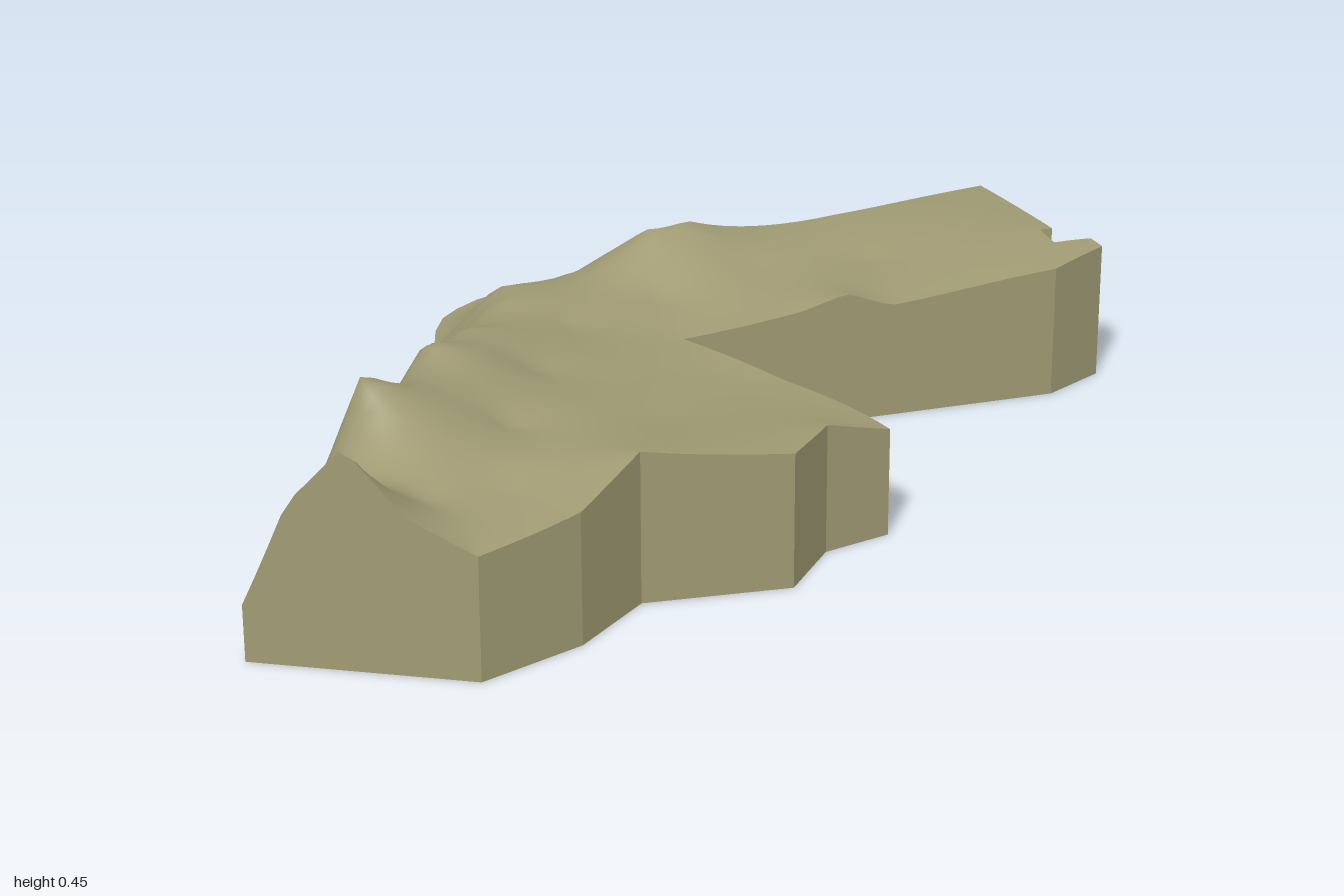
import * as THREE from 'three';
import { mergeVertices } from 'three/addons/utils/BufferGeometryUtils.js';

// Outline of the slab in plan: x, z
const OUTLINE = [
  -0.885, 0.91, -0.435, 0.997, -0.25, 0.85, -0.14, 0.675, 0.16, 0.61, 0.23, 0.45, 0.36, 0.37,
  0.15, 0.11, -0.055, -0.1, 0.77, -0.355, 0.885, -0.47, 0.865, -0.52, 0.78, -0.497, 0.757, -0.577,
  0.785, -0.585, 0.66, -1, -0.11, -0.49, -0.2, -0.5, -0.295, -0.525, -0.35, -0.575, -0.42, -0.6,
  -0.455, -0.65, -0.48, -0.68, -0.53, -0.692, -0.58, -0.68, -0.61, -0.65, -0.62, -0.55, -0.615, -0.44,
  -0.63, -0.38, -0.625, -0.23, -0.65, -0.18, -0.67, -0.08, -0.69, 0.02, -0.675, 0.07, -0.72, 0.19,
  -0.79, 0.38, -0.805, 0.55, -0.83, 0.63, -0.875, 0.82,
];

// Height samples: x, z, y
const RIM = [
  -0.885, 0.91, 0.12, -0.79, 0.93, 0.34, -0.68, 0.95, 0.46, -0.57, 0.97, 0.33, -0.435, 0.997, 0.26,
  -0.25, 0.85, 0.28, -0.14, 0.675, 0.325, 0.16, 0.61, 0.29, 0.23, 0.45, 0.28, 0.36, 0.37, 0.235,
  0.15, 0.11, 0.235, -0.055, -0.1, 0.24, 0.2, -0.18, 0.27, 0.3, -0.21, 0.3, 0.4, -0.24, 0.26,
  0.77, -0.355, 0.3, 0.88, -0.48, 0.31, 0.76, -0.58, 0.31, 0.66, -1, 0.265, 0.3, -0.76, 0.28,
  -0.04, -0.53, 0.35, -0.13, -0.48, 0.35, -0.3, -0.52, 0.23, -0.42, -0.6, 0.15, -0.53, -0.69, 0.1,
  -0.61, -0.64, 0.07, -0.615, -0.44, 0.08, -0.625, -0.23, 0.08, -0.69, 0.02, 0.07, -0.72, 0.19, 0.08,
  -0.79, 0.38, 0.09, -0.805, 0.55, 0.12, -0.875, 0.82, 0.1,
];
const INNER = [
  -0.7, 0.8, 0.29, -0.55, 0.82, 0.29, -0.68, 0.57, 0.445, -0.68, 0.68, 0.33, -0.64, 0.43, 0.35,
  -0.58, 0.25, 0.38, -0.58, 0.12, 0.3, -0.52, 0.03, 0.32, -0.5, -0.1, 0.27, -0.46, -0.2, 0.29,
  -0.47, -0.33, 0.27, -0.5, -0.5, 0.18, -0.32, -0.38, 0.27, -0.3, -0.1, 0.27, -0.35, 0.2, 0.29,
  -0.4, 0.5, 0.3, -0.4, 0.75, 0.28, -0.1, 0.4, 0.27, 0.1, 0.35, 0.26, -0.1, 0.1, 0.25,
  -0.1, -0.3, 0.26, 0.1, -0.42, 0.28, 0.35, -0.5, 0.265, 0.6, -0.6, 0.295, 0.6, -0.4, 0.29,
];

// Solve a radial interpolation through the samples
function makeHeight(flat) {
  const pts = [];
  for (let i = 0; i < flat.length; i += 3) pts.push(flat.slice(i, i + 3));
  const n = pts.length;
  const m = pts.map((p) => [...pts.map((q) => Math.hypot(p[0] - q[0], p[1] - q[1])), p[2] - 0.27]);
  for (let c = 0; c < n; c++) {
    let best = c;
    for (let r = c + 1; r < n; r++) if (Math.abs(m[r][c]) > Math.abs(m[best][c])) best = r;
    [m[c], m[best]] = [m[best], m[c]];
    for (let r = 0; r < n; r++) {
      if (r === c) continue;
      const f = m[r][c] / m[c][c];
      for (let k = c; k <= n; k++) m[r][k] -= f * m[c][k];
    }
  }
  const w = m.map((row, i) => row[n] / row[i]);
  return ([x, z]) => {
    let y = 0.27;
    pts.forEach((p, i) => { y += w[i] * Math.hypot(x - p[0], z - p[1]); });
    return Math.min(0.46, Math.max(0.05, y));
  };
}

const STEP = 0.045;
const dist = (a, b) => Math.hypot(a[0] - b[0], a[1] - b[1]);
const mid = (a, b) => [(a[0] + b[0]) / 2, (a[1] + b[1]) / 2];

// Halve the longest edge until every edge is short
function refine(a, b, c, out) {
  const ab = dist(a, b), bc = dist(b, c), ca = dist(c, a);
  const longest = Math.max(ab, bc, ca);
  if (longest <= STEP) out.push(a, b, c);
  else if (longest === ab) { const p = mid(a, b); refine(a, p, c, out); refine(p, b, c, out); }
  else if (longest === bc) { const p = mid(b, c); refine(a, b, p, out); refine(a, p, c, out); }
  else { const p = mid(c, a); refine(a, b, p, out); refine(p, b, c, out); }
}

function splitEdge(a, b, out) {
  if (dist(a, b) <= STEP) { out.push([a, b]); return; }
  const p = mid(a, b);
  splitEdge(a, p, out);
  splitEdge(p, b, out);
}

function toGeometry(positions) {
  let g = new THREE.BufferGeometry();
  g.setAttribute('position', new THREE.Float32BufferAttribute(positions, 3));
  g = mergeVertices(g, 1e-5);
  g.computeVertexNormals();
  return g;
}

export function createModel() {
  const model = new THREE.Group();
  const earth = new THREE.MeshStandardMaterial({ color: 0xa09b74 });
  earth.name = 'khaki earth';
  const add = (name, positions) => {
    const mesh = new THREE.Mesh(toGeometry(positions), earth);
    mesh.name = name;
    model.add(mesh);
  };

  const height = makeHeight([...RIM, ...INNER]);
  const corners = [];
  for (let i = 0; i < OUTLINE.length; i += 2) corners.push([OUTLINE[i], OUTLINE[i + 1]]);
  const faces = THREE.ShapeUtils.triangulateShape(corners.map(([x, z]) => new THREE.Vector2(x, z)), []);

  // Terrain on top and flat underside
  const top = [], base = [];
  for (const face of faces) {
    let [a, b, c] = face.map((i) => corners[i]);
    const cross = (b[0] - a[0]) * (c[1] - a[1]) - (b[1] - a[1]) * (c[0] - a[0]);
    if (cross > 0) [b, c] = [c, b];
    const tris = [];
    refine(a, b, c, tris);
    for (const p of tris) top.push(p[0], height(p), p[1]);
    for (const p of [a, c, b]) base.push(p[0], 0, p[1]);
  }
  add('terrain', top);
  add('base', base);

  // Upright sides, one flat strip per outline edge
  const sides = new THREE.Group();
  sides.name = 'sides';
  corners.forEach((a, i) => {
    const pieces = [], wall = [];
    splitEdge(a, corners[(i + 1) % corners.length], pieces);
    for (const [p, q] of pieces) {
      const hp = height(p), hq = height(q);
      wall.push(p[0], 0, p[1], q[0], 0, q[1], q[0], hq, q[1]);
      wall.push(p[0], 0, p[1], q[0], hq, q[1], p[0], hp, p[1]);
    }
    const mesh = new THREE.Mesh(toGeometry(wall), earth);
    mesh.name = 'side' + (i + 1);
    sides.add(mesh);
  });
  model.add(sides);
  return model;
}
